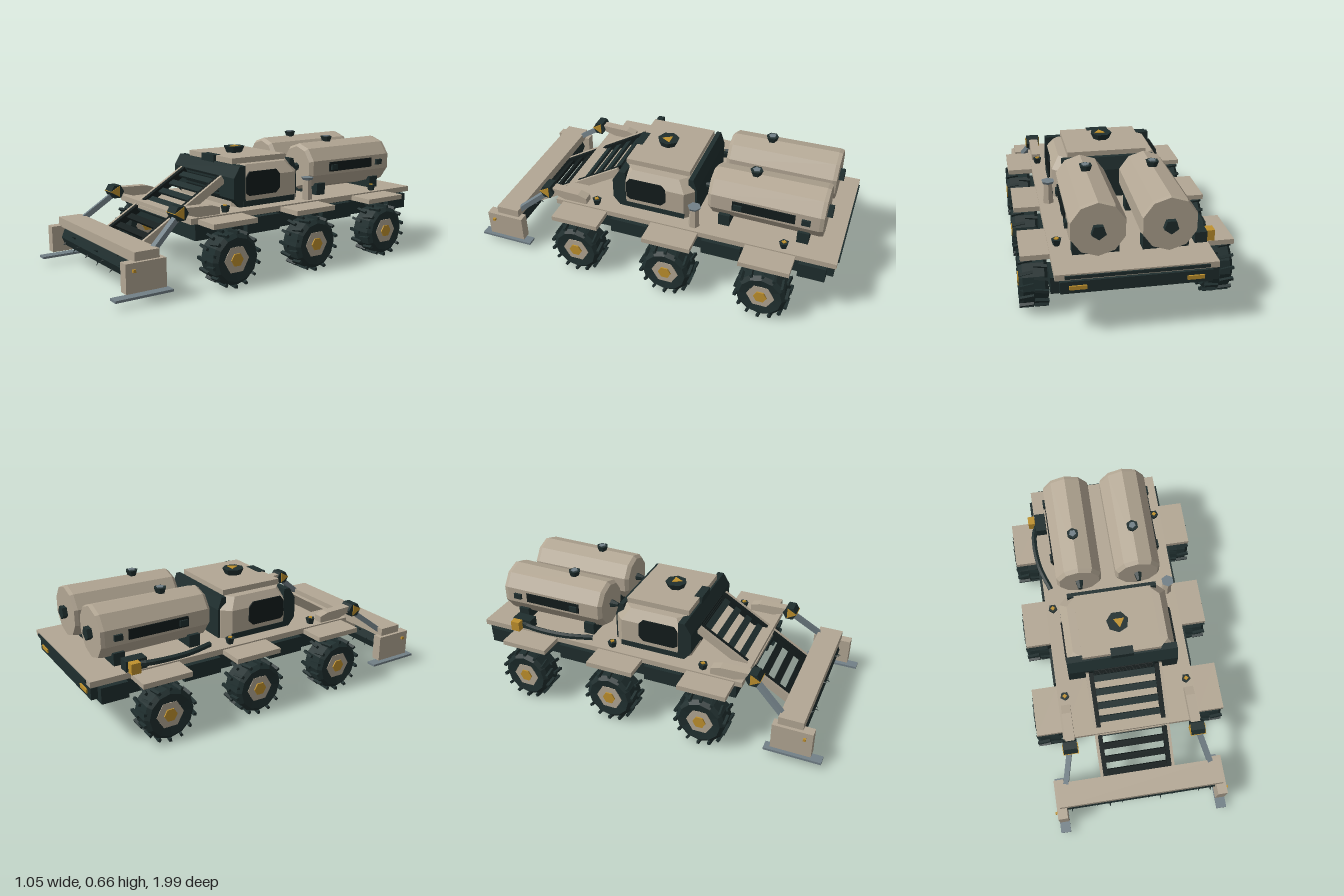
import * as THREE from 'three';

const mat = (name, color) => Object.assign(new THREE.MeshStandardMaterial({ color }), { name });

export function createModel() {
  const hull = mat('sand hull paint', 0xb3a794);
  const dark = mat('dark teal metal', 0x1f2e2e);
  const black = mat('near black glass', 0x131c1c);
  const amber = mat('amber accent', 0xbf912d);
  const steel = mat('steel', 0x728087);

  const root = new THREE.Group();
  root.name = 'sixWheelHarvester';

  // faceted normals for every part
  const flat = (g) => {
    const f = g.index ? g.toNonIndexed() : g;
    f.computeVertexNormals();
    return f;
  };
  const add = (name, geo, m, x = 0, y = 0, z = 0, parent = root) => {
    const mesh = new THREE.Mesh(flat(geo), m);
    mesh.name = name;
    mesh.position.set(x, y, z);
    parent.add(mesh);
    return mesh;
  };
  // box given by its limits
  const box = (name, m, x0, x1, y0, y1, z0, z1) =>
    add(name, new THREE.BoxGeometry(Math.abs(x1 - x0), y1 - y0, z1 - z0), m,
      (x0 + x1) / 2, (y0 + y1) / 2, (z0 + z1) / 2);
  // bar between two points
  const bar = (name, m, a, b, w, h) => {
    const p = new THREE.Vector3(...a), q = new THREE.Vector3(...b);
    const mesh = add(name, new THREE.BoxGeometry(w, h, p.distanceTo(q)), m);
    mesh.position.copy(p).add(q).multiplyScalar(0.5);
    mesh.lookAt(q);
  };
  // side profile of [z, y] points extruded across x
  const profile = (name, m, pts, x0, x1) => {
    const shape = new THREE.Shape(pts.map(([z, y]) => new THREE.Vector2(-z, y)));
    const geo = new THREE.ExtrudeGeometry(shape, { depth: x1 - x0, bevelEnabled: false });
    geo.rotateY(Math.PI / 2);
    add(name, geo, m, x0, 0, 0);
  };
  // octagonal plan block with a narrower top
  const chamferBlock = (name, m, hx, hz, y0, y1, y2, inset, zc) => {
    const c = 0.045, pos = [];
    const ring = (y, d) => {
      const X = hx - d, Z = hz - d;
      return [[X, c - Z], [X, Z - c], [X - c, Z], [c - X, Z], [-X, Z - c], [-X, c - Z], [c - X, -Z], [X - c, -Z]]
        .map(([x, z]) => [x, y, z + zc]);
    };
    const rings = [ring(y0, 0), ring(y1, 0), ring(y2, inset)];
    for (let i = 0; i < 8; i++) {
      const j = (i + 1) % 8;
      for (let k = 0; k < 2; k++) {
        const [a, b, d, e] = [rings[k][i], rings[k][j], rings[k + 1][j], rings[k + 1][i]];
        pos.push(...a, ...d, ...b, ...a, ...e, ...d);
      }
      pos.push(0, y2, zc, ...rings[2][j], ...rings[2][i]);
      pos.push(0, y0, zc, ...rings[0][i], ...rings[0][j]);
    }
    const g = new THREE.BufferGeometry();
    g.setAttribute('position', new THREE.Float32BufferAttribute(pos, 3));
    add(name, g, m);
  };

  // chassis and deck
  box('deck', hull, -0.375, 0.375, 0.315, 0.345, -0.985, 0.545);
  box('chassis', dark, -0.355, 0.355, 0.225, 0.315, -0.94, 0.51);
  box('bellyPlate', black, -0.27, 0.27, 0.215, 0.225, -0.86, 0.42);
  box('rearBumper', dark, -0.35, 0.35, 0.24, 0.3, -0.975, -0.94);
  box('rearDeckTrim', dark, -0.33, 0.33, 0.322, 0.338, -0.992, -0.985);

  // wheels with fenders
  const wheelProfile = [[0.065, -0.062], [0.112, -0.07], [0.133, -0.052], [0.133, 0.052], [0.112, 0.07], [0.065, 0.062]]
    .map(([r, y]) => new THREE.Vector2(r, y));
  const makeWheel = (s, z) => {
    const w = new THREE.Group();
    w.name = 'wheel';
    w.position.set(s * 0.452, 0.147, z);
    w.rotation.z = -s * Math.PI / 2;
    add('tire', new THREE.LatheGeometry(wheelProfile, 12), dark, 0, 0, 0, w);
    add('rim', new THREE.CylinderGeometry(0.073, 0.073, 0.13, 6), hull, 0, 0, 0, w);
    add('hubCap', new THREE.CylinderGeometry(0.035, 0.035, 0.144, 6), amber, 0, 0, 0, w);
    for (let i = 0; i < 28; i++) {
      const a = i * Math.PI / 14, side = i % 2 ? 1 : -1;
      const lug = add('treadLug', new THREE.BoxGeometry(0.014, 0.068, 0.016), dark,
        Math.sin(a) * 0.136, side * 0.036, Math.cos(a) * 0.136, w);
      lug.rotation.set(0, a, side * 0.15);
    }
    root.add(w);
  };
  for (const s of [-1, 1]) {
    for (const z of [0.375, -0.137, -0.65]) {
      makeWheel(s, z);
      box('fender', hull, s * 0.37, s * 0.512, 0.312, 0.338, z - 0.13, z + 0.13);
    }
    for (const [z0, z1] of [[-0.94, -0.8], [-0.5, -0.29], [0.01, 0.22]])
      box('sidePod', dark, s * 0.35, s * 0.39, 0.225, 0.308, z0, z1);
    box('tailLight', amber, s * 0.23, s * 0.31, 0.26, 0.28, -0.982, -0.974);
  }

  // cab
  chamferBlock('cabBody', hull, 0.295, 0.215, 0.345, 0.5, 0.56, 0.04, 0.008);
  box('cabSkirt', dark, -0.298, 0.298, 0.345, 0.375, -0.165, 0.18);
  profile('cabFront', dark,
    [[0.155, 0.345], [0.2, 0.345], [0.237, 0.39], [0.237, 0.5], [0.2, 0.56], [0.165, 0.56], [0.165, 0.5], [0.165, 0.39]],
    -0.297, 0.297);
  profile('cabRear', dark,
    [[-0.17, 0.345], [-0.17, 0.565], [-0.195, 0.565], [-0.217, 0.5], [-0.217, 0.345]], -0.245, 0.245);
  box('cabRoof', hull, -0.21, 0.21, 0.56, 0.59, -0.165, 0.19);
  box('roofLamp', dark, -0.06, 0.06, 0.553, 0.592, 0.16, 0.205);
  add('beaconBase', new THREE.CylinderGeometry(0.06, 0.045, 0.034, 7), dark, 0, 0.607, 0.03);
  add('beaconLens', new THREE.CylinderGeometry(0.034, 0.034, 0.004, 3), amber, 0.008, 0.625, 0.03);
  for (let i = 0; i < 6; i++)
    box('grilleSlat', black, -0.16, 0.16, 0.39 + i * 0.02, 0.398 + i * 0.02, 0.236, 0.243);
  for (const s of [-1, 1])
    profile('sideWindow', black,
      [[0.16, 0.415], [0.16, 0.5], [0.14, 0.527], [-0.035, 0.527], [-0.06, 0.5], [-0.06, 0.425], [-0.035, 0.4], [0.14, 0.4]],
      s * 0.296 - 0.004, s * 0.296 + 0.004);

  // twin tanks
  const tankProfile = [[0, -0.3], [0.115, -0.3], [0.131, -0.28], [0.137, 0.28], [0.132, 0.3], [0, 0.3]]
    .map(([r, y]) => new THREE.Vector2(r, y));
  for (const s of [-1, 1]) {
    const x = s * 0.165;
    const g = new THREE.LatheGeometry(tankProfile, 10);
    g.rotateX(-Math.PI / 2);
    add('tank', g, hull, x, 0.5, -0.586);
    const port = new THREE.CylinderGeometry(0.036, 0.036, 0.03, 5);
    port.rotateX(Math.PI / 2);
    add('tankRearPort', port, dark, x, 0.497, -0.897);
    const nozzle = new THREE.CylinderGeometry(0.012, 0.024, 0.045, 6);
    nozzle.rotateX(Math.PI / 2);
    add('tankFrontNozzle', nozzle, dark, x, 0.5, -0.265);
    box('tankGauge', black, s * 0.29, s * 0.299, 0.475, 0.528, -0.745, -0.42);
    for (const z of [-0.45, -0.8])
      box('gaugeClamp', dark, s * 0.285, s * 0.308, 0.485, 0.515, z - 0.022, z + 0.022);
    add('fillerCap', new THREE.CylinderGeometry(0.034, 0.024, 0.03, 6), dark, x, 0.643, -0.505);
    add('fillerLid', new THREE.CylinderGeometry(0.02, 0.02, 0.006, 5), steel, x, 0.66, -0.505);
    for (const z of [-0.375, -0.79])
      box('tankSaddle', dark, x - 0.11, x + 0.11, 0.34, 0.41, z - 0.03, z + 0.03);
  }

  // sloping feeder: rails and cross slats
  const top = [0.24, 0.485], low = [0.765, 0.17];
  for (const s of [-1, 1]) {
    bar('feederRail', hull, [s * 0.197, top[1], top[0]], [s * 0.197, low[1], low[0]], 0.016, 0.045);
    bar('chainGuard', black, [s * 0.177, top[1], top[0]], [s * 0.177, low[1], low[0]], 0.024, 0.04);
  }
  for (let i = 0; i < 8; i++) {
    const t = (i + 0.5) / 8;
    const slat = add('feederSlat', new THREE.BoxGeometry(0.34, 0.014, 0.036), i > 4 ? black : dark,
      0, top[1] + (low[1] - top[1]) * t, top[0] + (low[0] - top[0]) * t);
    slat.rotation.x = 0.54;
  }
  box('feederCrossbar', hull, -0.2, 0.2, 0.305, 0.325, 0.53, 0.55);

  // header with reel, end plates and skids
  box('headerBeam', hull, -0.445, 0.445, 0.2, 0.25, 0.76, 0.89);
  const reel = new THREE.CylinderGeometry(0.062, 0.062, 0.82, 8);
  reel.rotateZ(Math.PI / 2);
  add('reel', reel, dark, 0, 0.142, 0.83);
  for (let i = 0; i < 12; i++)
    for (let k = 0; k < 3; k++) {
      const a = i * 0.55 + k * Math.PI * 2 / 3;
      const tine = add('reelTine', new THREE.ConeGeometry(0.008, 0.03, 4), dark,
        -0.385 + i * 0.07, 0.142 + Math.cos(a) * 0.066, 0.83 + Math.sin(a) * 0.066);
      tine.rotation.x = a;
    }
  for (const s of [-1, 1]) {
    box('endPlate', hull, s * 0.41, s * 0.463, 0.065, 0.207, 0.735, 0.945);
    box('skid', steel, s * 0.41, s * 0.465, 0.035, 0.047, 0.7, 1.0);
    box('endBolt', amber, s * 0.463, s * 0.475, 0.164, 0.178, 0.898, 0.912);

    // lift arms
    profile('liftArm', hull, [[0.37, 0.345], [0.37, 0.38], [0.42, 0.395], [0.58, 0.4], [0.58, 0.37], [0.5, 0.345]],
      s * 0.338 - 0.025, s * 0.338 + 0.025);
    const knee = add('liftKnee', new THREE.CylinderGeometry(0.04, 0.04, 0.075, 6), dark, s * 0.342, 0.378, 0.6);
    knee.rotation.z = Math.PI / 2;
    const cap = add('kneeCap', new THREE.CylinderGeometry(0.036, 0.036, 0.083, 3), amber, s * 0.342, 0.38, 0.605);
    cap.rotation.z = Math.PI / 2;
    bar('liftStrut', steel, [s * 0.345, 0.365, 0.6], [s * 0.4, 0.225, 0.78], 0.028, 0.028);
  }

  // deck fittings
  for (const [x, z] of [[0.335, 0.32], [-0.335, 0.32], [-0.335, -0.2], [0.335, -0.71]]) {
    add('deckFitting', new THREE.CylinderGeometry(0.026, 0.018, 0.032, 5), dark, x, 0.361, z);
    add('fittingCap', new THREE.CylinderGeometry(0.013, 0.013, 0.006, 4), amber, x, 0.379, z);
  }
  add('exhaustStack', new THREE.CylinderGeometry(0.024, 0.03, 0.11, 6), hull, 0.325, 0.4, -0.23);
  add('exhaustCap', new THREE.CylinderGeometry(0.036, 0.028, 0.014, 6), steel, 0.325, 0.46, -0.23);
  const hose = new THREE.CatmullRomCurve3([[-0.345, 0.37, -0.77], [-0.385, 0.375, -0.68], [-0.38, 0.37, -0.48], [-0.33, 0.365, -0.32]]
    .map((p) => new THREE.Vector3(...p)));
  add('hose', new THREE.TubeGeometry(hose, 12, 0.016, 6), dark);
  box('hosePump', dark, -0.37, -0.31, 0.345, 0.4, -0.8, -0.69);
  box('pumpValve', amber, -0.41, -0.372, 0.345, 0.4, -0.79, -0.74);

  return root;
}
